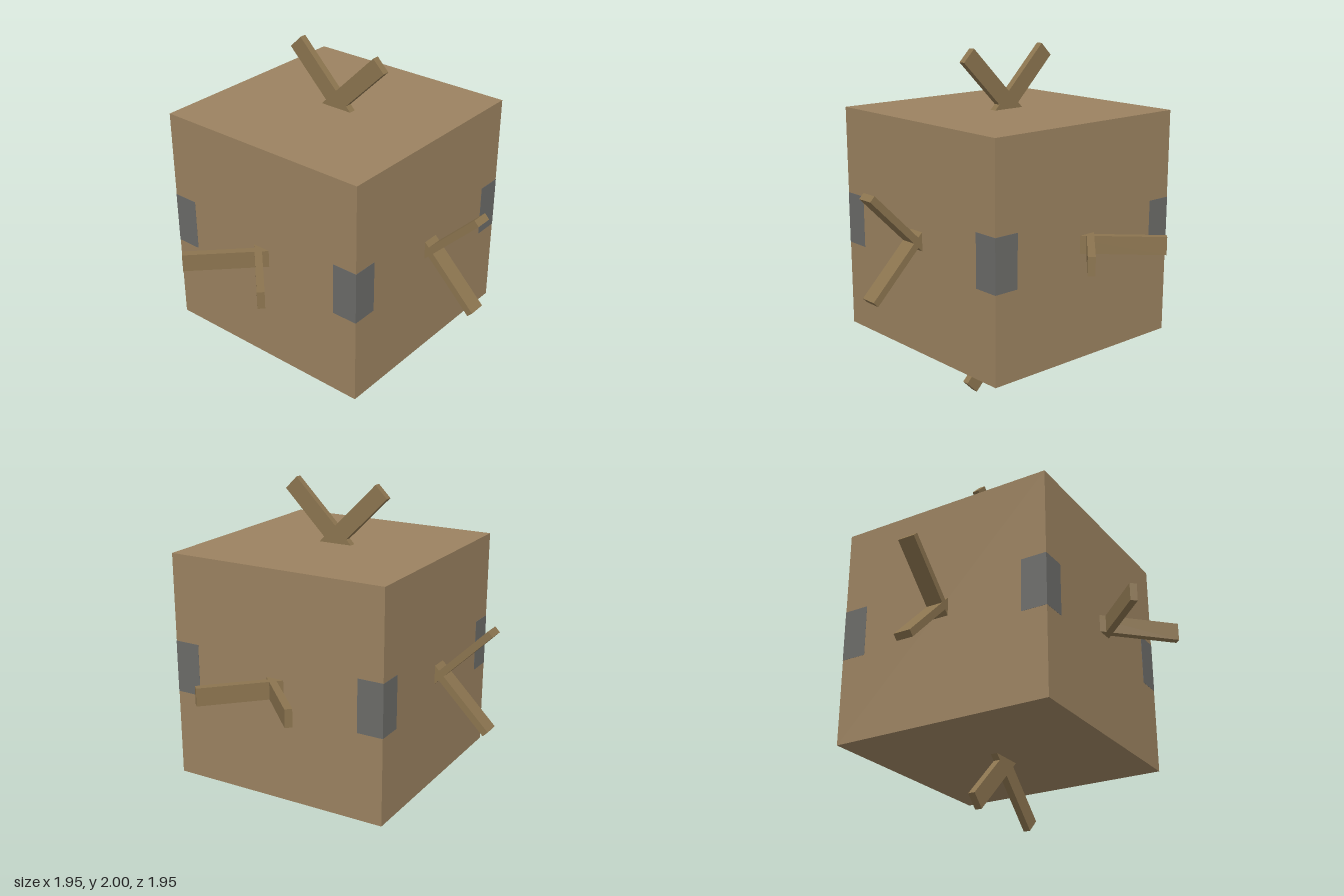
import * as THREE from 'three';

export function createModel() {
  const model = new THREE.Group();
  const paint = (color) => new THREE.MeshStandardMaterial({ color, flatShading: true });
  const crateMat = paint(0x9b8260), barMat = paint(0x8b744f), metalMat = paint(0x6b6b68);

  const CUBE = 1.3, HALF = CUBE / 2, MID = 1;

  function addBox(parent, name, size, position, material) {
    const mesh = new THREE.Mesh(new THREE.BoxGeometry(...size), material);
    mesh.name = name;
    mesh.position.set(...position);
    parent.add(mesh);
    return mesh;
  }

  // Main cube
  addBox(model, 'cubeBody', [CUBE, CUBE, CUBE], [0, MID, 0], crateMat);

  // Metal blocks set into the four upright edges, a hair proud of the faces
  const block = 0.15, off = HALF - block / 2 + 0.001;
  for (const sx of [-1, 1]) for (const sz of [-1, 1])
    addBox(model, 'cornerBlock', [block, 0.3, block], [sx * off, MID, sz * off], metalMat);

  // Two crossed bars that open outward along local +y; their feet sink into the cube
  function crossedBars(name, width, depth, apex) {
    const group = new THREE.Group();
    group.name = name;
    const outer = 0.405, inner = 0.2;
    for (const s of [-1, 1]) {
      const along = (outer - inner) / 2 * Math.SQRT1_2;
      const bar = addBox(group, 'bar', [width, outer + inner, depth], [s * along, apex + along, 0], barMat);
      bar.rotation.z = -s * Math.PI / 4;
    }
    group.position.y = MID;
    model.add(group);
    return group;
  }

  // Top and bottom: broad flat bars
  crossedBars('topBars', 0.1, 0.04, 0.68);
  crossedBars('bottomBars', 0.1, 0.04, 0.68).rotation.z = Math.PI;

  // Four sides: thin bars, spread upright on left and right, level on front and back
  for (const s of [-1, 1]) {
    crossedBars(s > 0 ? 'leftBars' : 'rightBars', 0.04, 0.1, 0.675).rotation.z = -s * Math.PI / 2;
    crossedBars(s > 0 ? 'frontBars' : 'backBars', 0.04, 0.1, 0.675).rotation.x = s * Math.PI / 2;
  }

  return model;
}
